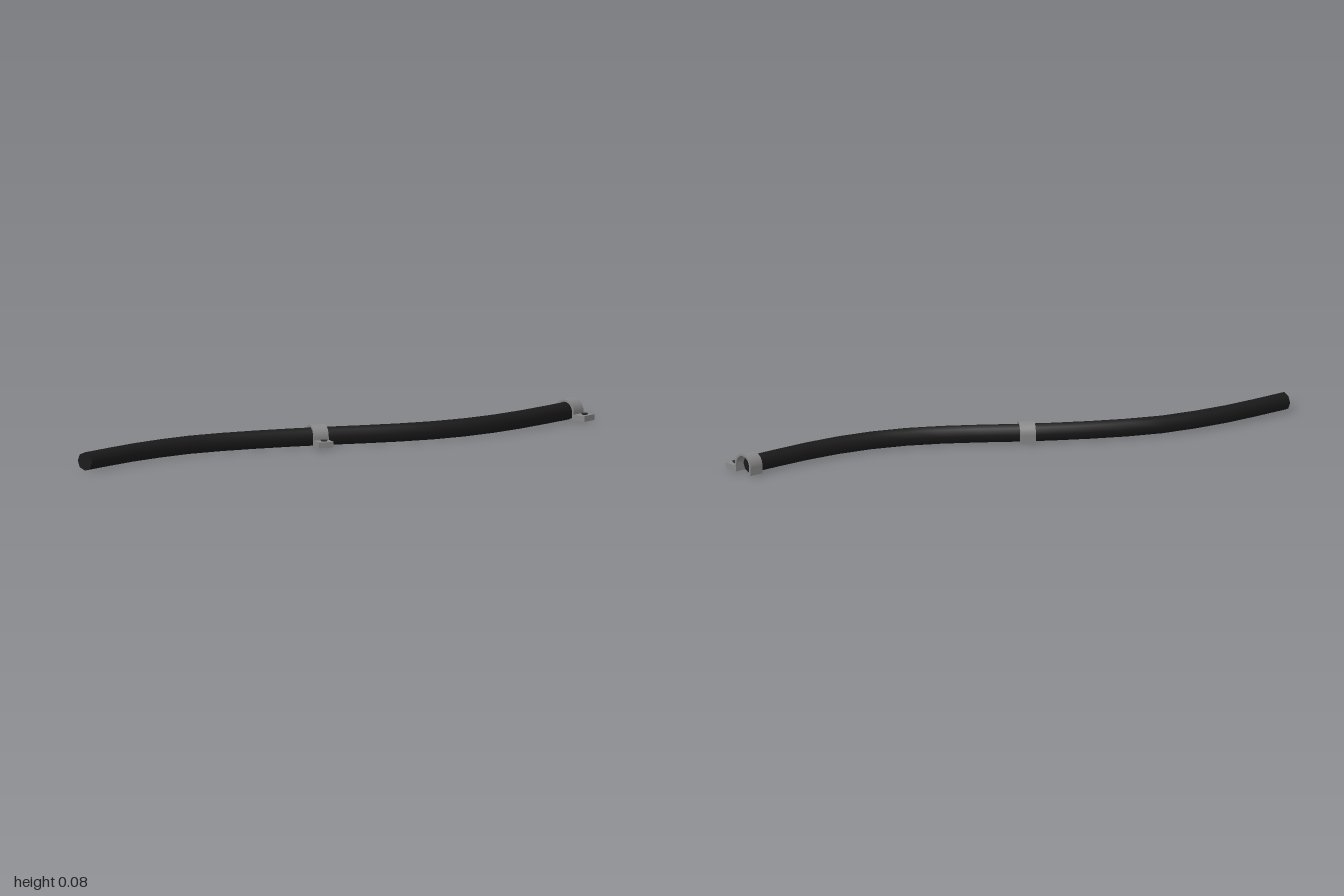
import * as THREE from 'three';

const R = 0.033; // cable radius, also the height of its axis
const cableMat = new THREE.MeshStandardMaterial({ color: 0x1a1a1a });
const clampMat = new THREE.MeshStandardMaterial({ color: 0x888888 });
const screwMat = new THREE.MeshStandardMaterial({ color: 0x333333 });

function add(parent, name, geometry, material) {
  const mesh = new THREE.Mesh(geometry, material);
  mesh.name = name;
  parent.add(mesh);
  return mesh;
}

// S-shaped cable lying on the ground, with closed ends
function createCable() {
  const cable = new THREE.Group();
  cable.name = 'cable';
  const path = [
    [-1, -0.348], [-0.75, -0.341], [-0.6, -0.32], [-0.456, -0.284], [-0.32, -0.222],
    [-0.18, -0.143], [-0.04, -0.052], [0.136, 0.076], [0.28, 0.166], [0.42, 0.226],
    [0.564, 0.262], [0.71, 0.279], [0.97, 0.285],
  ].map(([x, z]) => new THREE.Vector3(x, R, z));
  const curve = new THREE.CatmullRomCurve3(path);
  add(cable, 'cableSheath', new THREE.TubeGeometry(curve, 16, R, 8), cableMat);
  for (const end of [0, 1]) {
    const cap = add(cable, 'cableEnd', new THREE.CircleGeometry(R, 8), cableMat);
    cap.position.copy(path[end ? path.length - 1 : 0]);
    cap.rotation.y = end ? Math.PI / 2 : -Math.PI / 2;
  }
  return cable;
}

// One-sided clip: an arch over the cable and a screwed foot on local +z
function createClamp(x, z, turn) {
  const clamp = new THREE.Group();
  clamp.name = 'clamp';
  const width = 0.056, outer = 0.043, inner = 0.035, base = 0.004, footTop = 0.025, footEnd = 0.092;

  const profile = new THREE.Shape();
  profile.moveTo(-outer, base);
  profile.lineTo(-inner, base);
  profile.lineTo(-inner, R);
  profile.absarc(0, R, inner, Math.PI, 0, true);
  profile.lineTo(inner, base);
  profile.lineTo(footEnd, base);
  profile.lineTo(footEnd, footTop);
  profile.lineTo(outer, footTop);
  profile.lineTo(outer, R);
  profile.absarc(0, R, outer, 0, Math.PI, false);
  profile.closePath();
  const strap = new THREE.ExtrudeGeometry(profile, { depth: width, bevelEnabled: false, curveSegments: 16 });
  strap.translate(0, 0, -width / 2).rotateY(-Math.PI / 2);
  add(clamp, 'clampStrap', strap, clampMat);

  // Countersunk screw head in the foot
  const screw = add(clamp, 'screwHead', new THREE.CylinderGeometry(0.013, 0.007, 0.008, 12), screwMat);
  screw.position.set(0, footTop + 0.001, 0.07);

  clamp.position.set(x, 0, z);
  clamp.rotation.y = turn;
  return clamp;
}

export function createModel() {
  const model = new THREE.Group();
  model.name = 'clampedCable';
  model.add(createCable());
  model.add(createClamp(0.972, 0.288, 0));
  model.add(createClamp(-0.04, -0.054, -0.55));
  return model;
}
